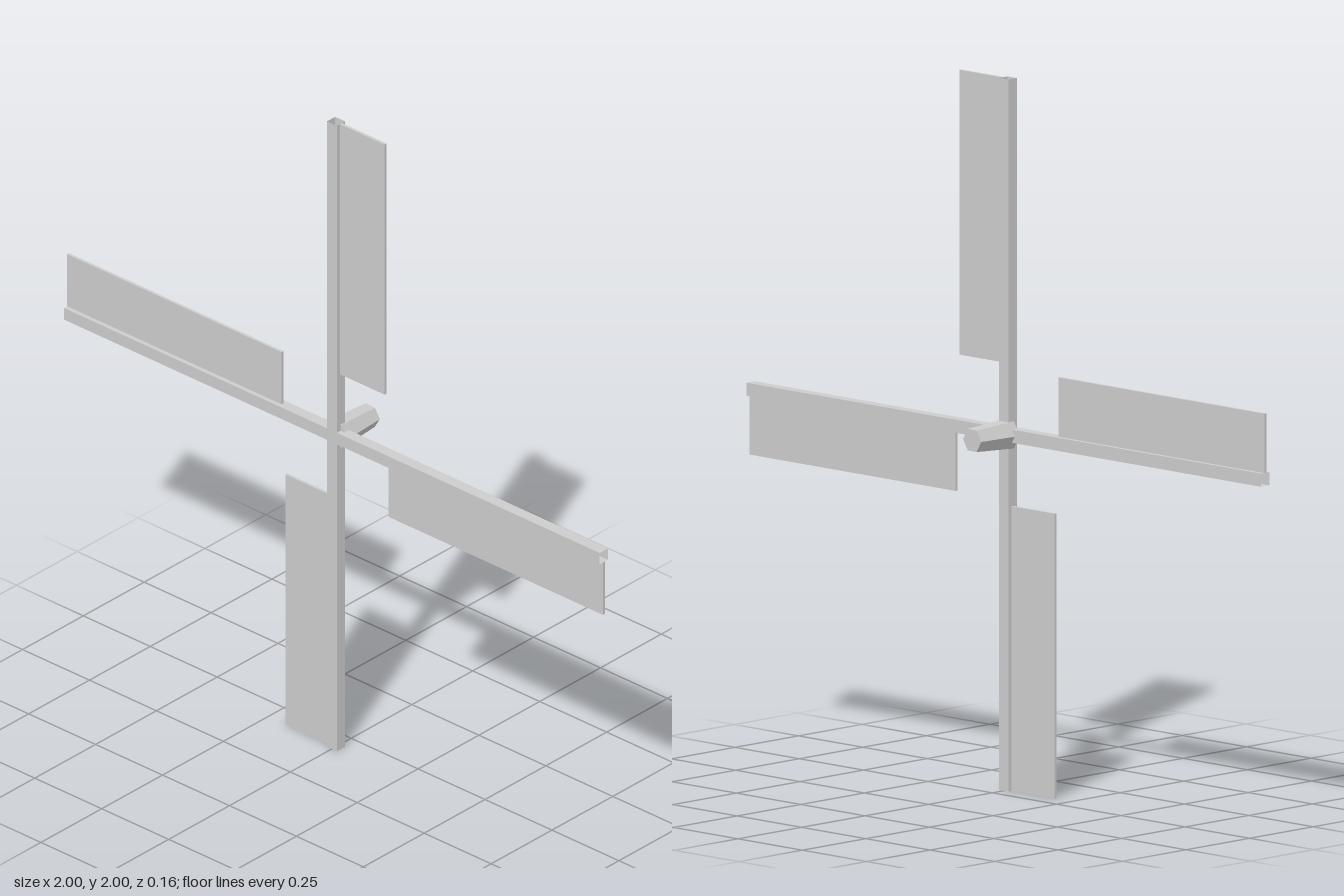
import * as THREE from 'three';

export function createModel() {
  const model = new THREE.Group();
  model.name = 'windmillSails';
  const grey = new THREE.MeshStandardMaterial({ color: 0xcccccc });
  grey.name = 'grey';
  // the spars are open-ended tubes, so their inside shows
  const greyOpen = new THREE.MeshStandardMaterial({ color: 0xcccccc, side: THREE.DoubleSide });
  greyOpen.name = 'greyOpen';

  const SPAR_Z = 0.062, SPAR_W = 0.037, SPAR_D = 0.034;

  // rotor turns about the hub axis at y = 1
  const rotor = new THREE.Group();
  rotor.name = 'rotor';
  rotor.position.y = 1;
  model.add(rotor);

  // two crossing hollow spars
  for (let i = 0; i < 2; i++) {
    const g = new THREE.BoxGeometry(2, SPAR_W, SPAR_D);
    g.setIndex(Array.from(g.index.array).slice(12)); // drop both end caps
    g.clearGroups();
    const spar = new THREE.Mesh(g, greyOpen);
    spar.name = i ? 'verticalSpar' : 'horizontalSpar';
    spar.position.z = SPAR_Z;
    spar.rotation.z = i * Math.PI / 2;
    rotor.add(spar);
  }

  // four thin sail boards, one beside each arm
  const board = new THREE.BoxGeometry(0.167, 0.8, 0.008);
  board.translate(0.1015, 0.6, SPAR_Z);
  for (let i = 0; i < 4; i++) {
    const sail = new THREE.Mesh(board, grey);
    sail.name = 'sailBoard' + (i + 1);
    sail.rotation.z = -i * Math.PI / 2;
    rotor.add(sail);
  }

  // tapered six-sided hub shaft, flat faced
  const shaft = new THREE.CylinderGeometry(0.044, 0.035, 0.142, 6)
    .rotateY(Math.PI / 6).rotateX(Math.PI / 2).toNonIndexed();
  shaft.computeVertexNormals();
  const hub = new THREE.Mesh(shaft, grey);
  hub.name = 'hubShaft';
  hub.position.z = -0.008;
  rotor.add(hub);

  return model;
}
